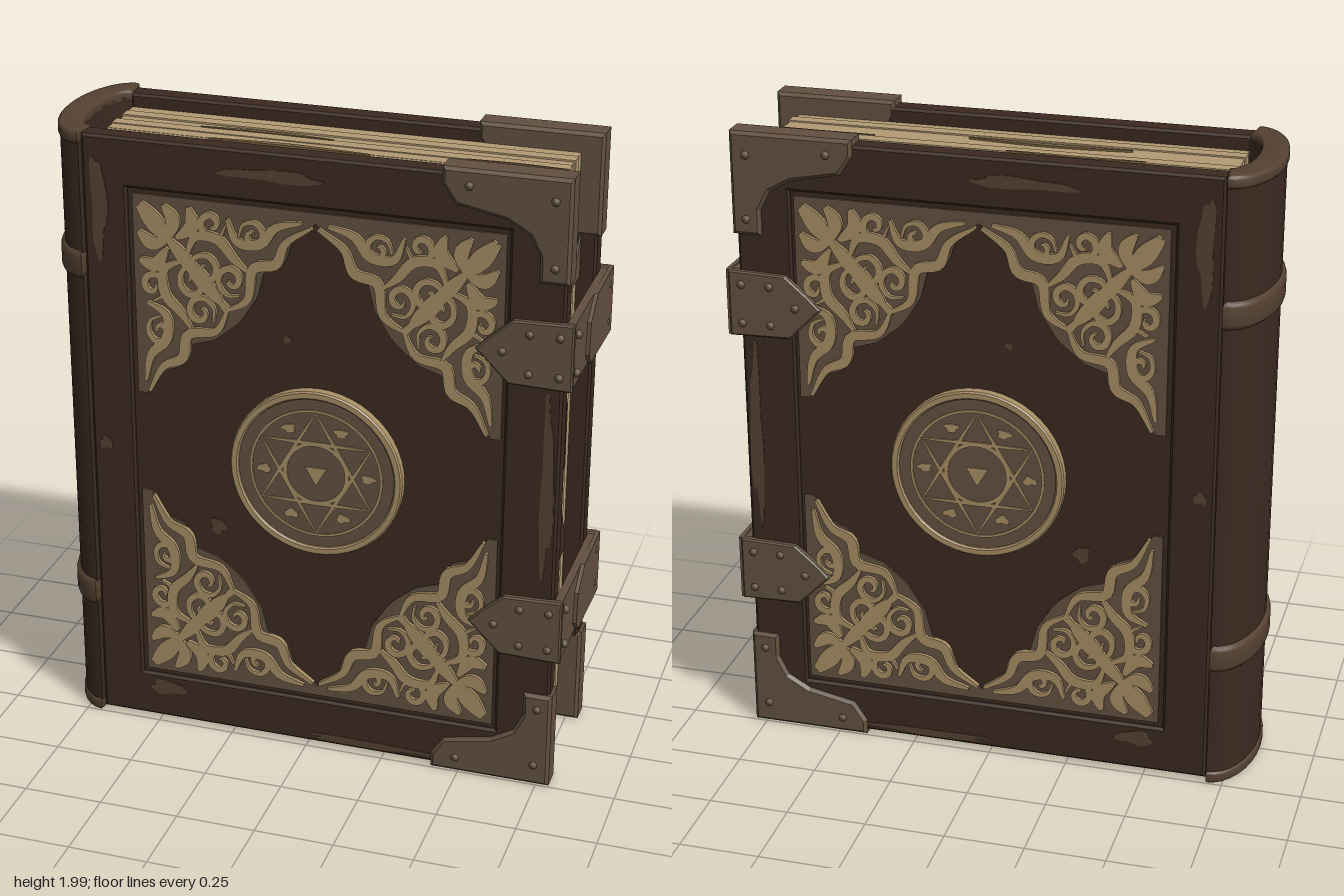
import * as THREE from 'three';
import { mergeGeometries, toCreasedNormals } from 'three/addons/utils/BufferGeometryUtils.js';

const material = (name, color) => Object.assign(new THREE.MeshStandardMaterial({ color }), { name });

export function createModel() {
  const leather = material('leather', 0x3b2920);
  const worn = material('worn leather', 0x544131);
  const metal = material('aged metal', 0x625040);
  const gold = material('old gold', 0xa68d64);
  const paper = material('paper', 0xb39b73);
  const shade = material('page gap', 0x75603f);

  const book = new THREE.Group();
  book.name = 'book';
  const group = name => {
    const g = new THREE.Group();
    g.name = name;
    book.add(g);
    return g;
  };
  const add = (name, geo, mat, parent = book) => {
    const m = new THREE.Mesh(geo, mat);
    m.name = name;
    parent.add(m);
  };
  const toShape = pts => new THREE.Shape(pts.map(p => new THREE.Vector2(p[0], p[1])));
  const rect = (x0, y0, x1, y1) => [[x0, y0], [x1, y0], [x1, y1], [x0, y1]];
  const disc = (x, y, r) => new THREE.Shape().absarc(x, y, r, 0, Math.PI * 2);
  const ring = (x, y, r0, r1) => {
    const s = disc(x, y, r1);
    s.holes.push(new THREE.Path().absarc(x, y, r0, 0, Math.PI * 2, true));
    return s;
  };
  const extrude = (shape, length, bevel = 0, segments = 1) => new THREE.ExtrudeGeometry(shape, {
    depth: length - 2 * bevel, bevelEnabled: bevel > 0, bevelSize: bevel, bevelOffset: -bevel,
    bevelThickness: bevel, bevelSegments: segments, curveSegments: 24
  }).translate(0, 0, bevel);

  // Plate between two distances from the middle plane, on the front (s = 1) or back (s = -1)
  const plate = (shape, s, z0, z1, bevel) => extrude(shape, z1 - z0, bevel).translate(0, 0, s > 0 ? z0 : -z1);

  // Tapering flat vine along a curve
  const vine = (pts, w) => {
    const curve = new THREE.CatmullRomCurve3(pts.map(p => new THREE.Vector3(p[0], p[1], 0)));
    const n = pts.length * 4, a = [], b = [];
    for (let i = 0; i <= n; i++) {
      const p = curve.getPoint(i / n), t = curve.getTangent(i / n);
      const h = w * (0.3 + 0.7 * Math.sin(Math.PI * i / n)) / 2;
      a.push([p.x - t.y * h, p.y + t.x * h]);
      b.unshift([p.x + t.y * h, p.y - t.x * h]);
    }
    return toShape([...a, ...b]);
  };
  const spiral = (u, v, r, start, turns) => Array.from({ length: 10 }, (_, i) => {
    const a = start + turns * Math.PI * 2 * i / 9, q = r * (1 - 0.78 * i / 9);
    return [u + q * Math.cos(a), v + q * Math.sin(a)];
  });
  // Irregular worn spot
  const blob = (x, y, rx, ry, k) => toShape(Array.from({ length: 18 }, (_, i) => {
    const a = i / 18 * Math.PI * 2, q = 1 + 0.18 * Math.sin(3 * a + k) + 0.12 * Math.sin(5 * a + 2 * k);
    return [x + rx * q * Math.cos(a), y + ry * q * Math.sin(a)];
  }));

  // Page block: slabs of slightly different size
  const pages = group('pages');
  for (let i = 0; i < 8; i++) {
    const j = 0.006 * Math.sin(i * 2.4);
    add('pageSlab', new THREE.BoxGeometry(1.41 + j, 1.885 + j, 0.0413).translate(0.015, 0.995, -0.145 + i * 0.0414), paper, pages);
  }
  // Gaps between leaves on the top, bottom and fore edge
  for (const [x, z, len, d] of [[-0.42, 0.04, 0.42, 0.016], [-0.36, -0.055, 0.5, 0.02], [0.42, -0.005, 0.3, 0.008]]) {
    const s = vine([[x, z], [x + len / 2, z + d / 2], [x + len, z]], d);
    for (const y of [0.049, 1.937]) add('pageGap', extrude(s, 0.006).rotateX(-Math.PI / 2).translate(0, y, 0), shade, pages);
  }
  for (const [y, z] of [[1.73, -0.02], [0.22, -0.05], [1.05, -0.1]])
    add('pageGap', new THREE.BoxGeometry(0.006, 0.22, 0.007).translate(0.722, y, z), shade, pages);

  // Torn flaps over the fore edge, given as [z, y] corners
  const flap = (name, pts, mat) =>
    add(name, extrude(toShape(pts.map(([z, y]) => [-z, y])), 0.006).rotateY(Math.PI / 2).translate(0.726, 0, 0), mat);
  flap('leatherFlap', [[0.17, 1.17], [0.17, 0.65], [-0.12, 0.65], [-0.13, 0.69]], leather);
  flap('upperFlap', [[-0.16, 1.68], [-0.16, 1.55], [-0.04, 1.55]], metal);
  flap('lowerFlap', [[0.16, 0.36], [0.16, 0.47], [0, 0.47]], metal);

  // Spine: hollow half-oval section extruded upward
  const arc = (x, rx, rz) => Array.from({ length: 17 }, (_, i) => {
    const a = Math.PI * (i / 16 - 0.5);
    return [x - rx * Math.cos(a), rz * Math.sin(a)];
  });
  const spineBand = (name, y0, y1, grow, bevel, mat) => {
    const section = [...arc(-0.7, 0.122 + grow, 0.245 + grow), ...arc(-0.688, 0.057, 0.17).reverse()];
    const g = extrude(toShape(section), y1 - y0, bevel, 3).rotateX(-Math.PI / 2).translate(0, y0, 0);
    add(name, toCreasedNormals(g, 0.7), mat);
  };
  spineBand('spine', 0.03, 1.97, 0, 0, leather);
  spineBand('spineTopCap', 1.95, 1.99, 0.006, 0.01, worn);
  spineBand('spineBottomCap', 0.01, 0.05, 0.006, 0.01, worn);
  for (const y of [1.57, 0.45]) spineBand('spineRib', y - 0.045, y + 0.045, 0.013, 0.018, worn);

  // Half of a corner ornament, measured inward from the corner; the other half swaps u and v
  const stems = [
    [[0.29, 0.3], [0.36, 0.26], [0.38, 0.17], [0.45, 0.15], [0.48, 0.09], [0.56, 0.04]],
    [[0.53, 0.03], [0.45, 0.05], [0.4, 0.1], [0.33, 0.1], [0.3, 0.04]],
    [[0.17, 0.16], [0.2, 0.1], [0.27, 0.1], [0.32, 0.15], [0.36, 0.18]],
    [[0.1, 0.1], [0.17, 0.16], [0.24, 0.25], [0.3, 0.29]]
  ];
  const petals = [
    [[0.12, 0.12], [0.07, 0.08], [0.02, 0.03]],
    [[0.12, 0.11], [0.13, 0.06], [0.1, 0.02]],
    [[0.14, 0.11], [0.19, 0.07], [0.18, 0.02]]
  ];
  const scrolls = [[0.23, 0.19, 0.055, 2, 1.4], [0.31, 0.21, 0.05, 1, 1.3], [0.25, 0.06, 0.045, 0, 1.3], [0.38, 0.08, 0.045, 3, 1.3]];
  const filigree = [...stems.map(p => [p, 0.034]), ...petals.map(p => [p, 0.045]), ...scrolls.map(p => [spiral(...p), 0.022])];
  const edge = [[0.57, 0], [0.57, 0.03], [0.5, 0.08], [0.48, 0.14], [0.41, 0.18], [0.39, 0.25], [0.34, 0.32]];
  const swap = ([u, v]) => [v, u];
  const backing = [[0, 0], ...edge, ...edge.map(swap).reverse()];

  const guard = [[0.41, 2], [0.41, 1.95], [0.45, 1.89], [0.6, 1.86], [0.67, 1.82], [0.7, 1.76], [0.7, 1.68], [0.79, 1.68], [0.79, 2]];
  const rivet = (x, y, z, parent) => add('rivet', new THREE.SphereGeometry(0.014, 10, 6).translate(x, y, z), metal, parent);
  const claspHeights = [1.46, 0.56];

  for (const s of [1, -1]) {
    const cover = group(s > 0 ? 'frontCover' : 'backCover');

    // Board with a raised border around a sunken panel
    const border = toShape(rect(-0.695, 0.02, 0.78, 1.98));
    border.holes.push(toShape(rect(-0.555, 0.175, 0.61, 1.825)));
    add('border', plate(border, s, 0.165, 0.236, 0.008), leather, cover);
    add('panel', plate(toShape(rect(-0.57, 0.16, 0.63, 1.84)), s, 0.166, 0.224), leather, cover);

    // Worn patches on the border and the panel
    const patches = [blob(-0.645, 1.76, 0.025, 0.16, 1), blob(0.745, 1.02, 0.02, 0.28, 2), blob(0.2, 0.045, 0.2, 0.012, 1),
      blob(-0.47, 0.13, 0.06, 0.025, 2), blob(-0.65, 0.98, 0.02, 0.02, 3), blob(-0.1, 1.91, 0.16, 0.018, 4)];
    add('wornPatches', mergeGeometries(patches.map(p => plate(p, s, 0.234, 0.239))), worn, cover);
    const spots = [blob(-0.29, 0.74, 0.024, 0.026, 1), blob(-0.06, 1.4, 0.012, 0.012, 2)];
    add('wornSpots', mergeGeometries(spots.map(p => plate(p, s, 0.222, 0.227))), worn, cover);

    // Four corner ornaments
    const backs = [], vines = [];
    for (const mx of [1, -1]) for (const my of [1, -1]) {
      const place = ([u, v]) => [0.03 + mx * (0.57 - u), 1 + my * (0.81 - 1.13 * v)];
      backs.push(plate(toShape(backing.map(place)), s, 0.22, 0.23));
      for (const [pts, w] of filigree) for (const half of [pts, pts.map(swap)])
        vines.push(plate(vine(half.map(place), w), s, 0.226, 0.241));
    }
    add('ornamentBacking', mergeGeometries(backs), metal, cover);
    add('filigree', mergeGeometries(vines), gold, cover);

    // Round medallion with rings and a six-pointed star
    const cx = 0.035, cy = 0.98;
    const polar = (r, a) => [cx + r * Math.sin(a), cy + r * Math.cos(a)];
    add('medallion', plate(disc(cx, cy, 0.262), s, 0.22, 0.246), metal, cover);
    add('medallionRim', plate(ring(cx, cy, 0.247, 0.273), s, 0.22, 0.256, 0.005), gold, cover);
    const lines = [ring(cx, cy, 0.203, 0.211), ring(cx, cy, 0.092, 0.104)];
    for (let i = 0; i < 6; i++) {
      const a = i * Math.PI / 3;
      lines.push(vine([polar(0.2, a), polar(0.1, a + Math.PI / 3), polar(0.2, a + Math.PI * 2 / 3)], 0.012));
      lines.push(blob(...polar(0.165, a + 0.5), 0.022, 0.014, i));
    }
    lines.push(toShape([1, 3, 5].map(k => polar(0.04, k * Math.PI / 3))));
    add('medallionLines', mergeGeometries(lines.map(l => plate(l, s, 0.244, 0.25))), gold, cover);

    // Corner guards on the fore edge
    for (const my of [1, -1]) {
      const at = y => my > 0 ? y : 2.01 - y;
      add('cornerGuard', plate(toShape(guard.map(([x, y]) => [x, at(y)])), s, 0.163, 0.25, 0.01), metal, cover);
      for (const [x, y] of [[0.49, 1.95], [0.74, 1.93], [0.745, 1.73]]) rivet(x, at(y), s * 0.246, cover);
    }
    // Pointed clasp ends
    for (const y of claspHeights) {
      const tip = [[0.52, 0], [0.56, 0.04], [0.63, 0.1], [0.81, 0.105], [0.81, -0.105], [0.62, -0.1], [0.56, -0.04]];
      add('claspEnd', plate(toShape(tip.map(([x, dy]) => [x, y + dy])), s, 0.228, 0.254, 0.005), metal, cover);
      rivet(0.6, y, s * 0.25, cover);
      for (const x of [0.68, 0.77]) for (const dy of [-0.062, 0.062]) rivet(x, y + dy, s * 0.25, cover);
    }
  }

  // Clasp straps across the fore edge
  for (const y of claspHeights) {
    const clasp = group('clasp');
    add('strap', new THREE.BoxGeometry(0.025, 0.2, 0.49).translate(0.795, y, 0), metal, clasp);
    const tongue = toShape([[-0.07, -0.06], [-0.04, -0.095], [0.245, -0.105], [0.245, 0.105], [0.02, 0.1], [-0.06, 0.04]]);
    add('tongue', extrude(tongue, 0.014).rotateY(Math.PI / 2).translate(0.805, y, 0), metal, clasp);
    for (const z of [-0.2, 0.2]) for (const dy of [-0.06, 0.06]) rivet(0.81, y + dy, z, clasp);
  }
  return book;
}
